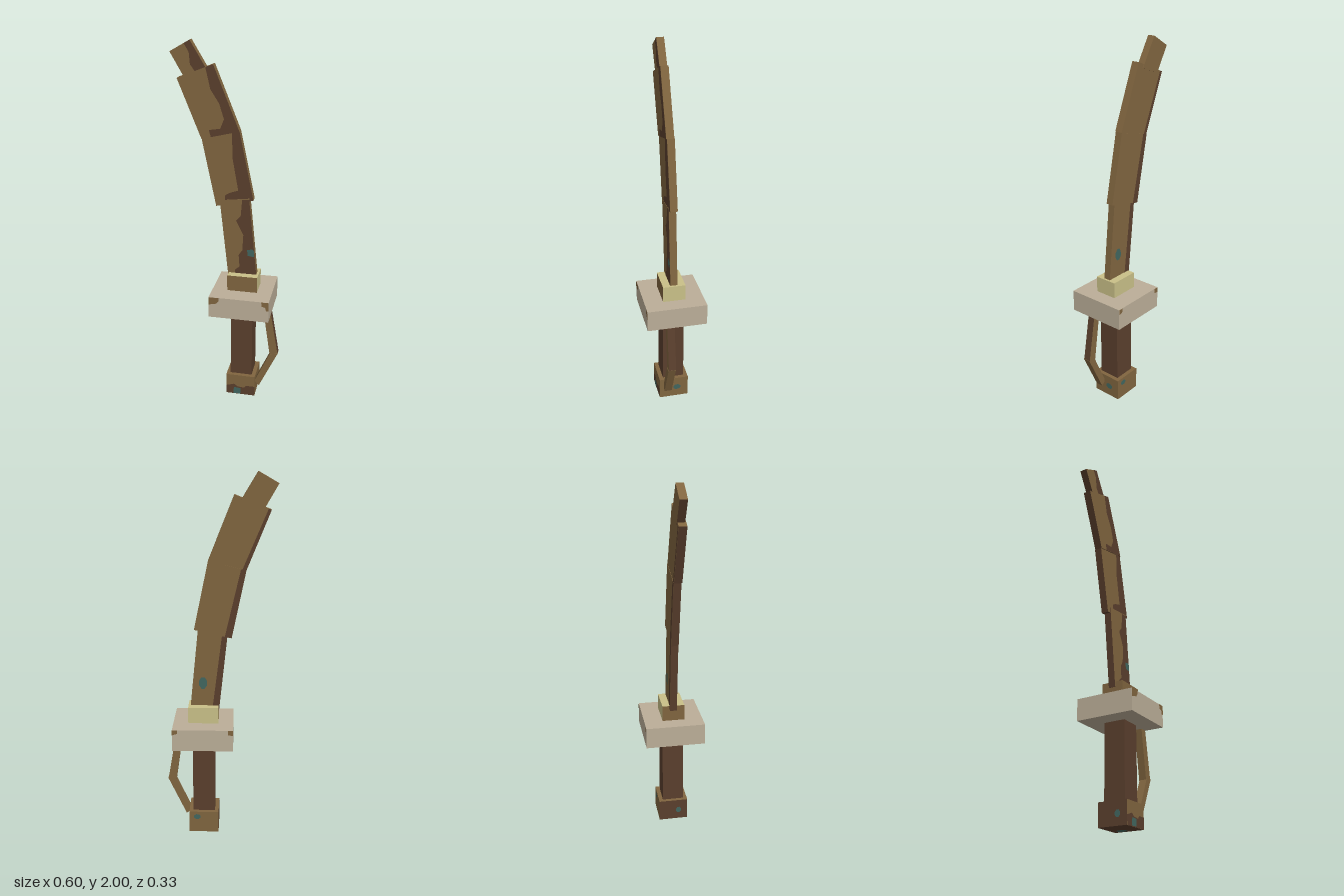
import * as THREE from 'three';

const flat = (name, color) => {
  const m = new THREE.MeshStandardMaterial({ color });
  m.name = name;
  return m;
};

export function createModel() {
  const model = new THREE.Group();
  model.name = 'curvedSword';

  const brown = flat('rustBrown', 0x80653f);
  const dark = flat('darkBrown', 0x5a3f2d);
  const stone = flat('paleStone', 0xbbae98);
  const yellow = flat('paleBrass', 0xc9c088);
  const teal = flat('verdigris', 0x41665f);

  // Bar with four corners in xy (bottom left, bottom right, top right, top left).
  // Materials run +x, -x, top, bottom, front, back.
  function bar(name, [bl, br, tr, tl], z0, z1, mats) {
    const g = new THREE.BoxGeometry(1, 1, 1);
    const p = g.attributes.position;
    for (let i = 0; i < p.count; i++) {
      const right = p.getX(i) > 0, top = p.getY(i) > 0;
      const c = top ? (right ? tr : tl) : (right ? br : bl);
      p.setXYZ(i, c[0], c[1], p.getZ(i) > 0 ? z1 : z0);
    }
    const flatG = g.toNonIndexed();
    flatG.computeVertexNormals();
    const mesh = new THREE.Mesh(flatG, mats);
    mesh.name = name;
    model.add(mesh);
  }
  const block = (name, x0, x1, y0, y1, z0, z1, mats) =>
    bar(name, [[x0, y0], [x1, y0], [x1, y1], [x0, y1]], z0, z1, mats);

  // Thin painted patch; points are x,y on front/back, z,y on the sides, x,z below
  function patch(name, side, at, pts, mat) {
    const flip = side === 'back' || side === 'right' ? -1 : 1;
    const shape = new THREE.Shape(pts.map(([u, v]) => new THREE.Vector2(u * flip, v)));
    const g = new THREE.ShapeGeometry(shape);
    if (side === 'back') g.rotateY(Math.PI);
    if (side === 'right') g.rotateY(Math.PI / 2);
    if (side === 'left') g.rotateY(-Math.PI / 2);
    if (side === 'below') g.rotateX(Math.PI / 2);
    const mesh = new THREE.Mesh(g, mat);
    mesh.name = name;
    const e = 0.0015;
    if (side === 'front') mesh.position.z = at + e;
    if (side === 'back') mesh.position.z = at - e;
    if (side === 'right') mesh.position.x = at + e;
    if (side === 'left') mesh.position.x = at - e;
    if (side === 'below') mesh.position.y = at - e;
    model.add(mesh);
  }
  const spot = (u, v, w, h) => [0, 1, 2, 3, 4, 5, 6, 7].map(i => {
    const a = (i + 0.5) * Math.PI / 4;
    return [u + w * Math.cos(a), v + h * Math.sin(a)];
  });

  // Blade: three wide sections and a narrow tip, each with a dark stain
  const bladeMats = [brown, dark, brown, dark, brown, brown];
  const sections = [
    { name: 'bladeBase', c: [[0.003, 0.72], [0.16, 0.74], [0.115, 1.19], [-0.045, 1.17]], z: [-0.02, 0.019],
      stain: [[0.04, 0.73], [0.16, 0.74], [0.115, 1.185], [0.077, 1.18], [0.07, 1.09], [0.045, 1.06],
        [0.085, 0.98], [0.08, 0.89], [0.06, 0.86], [0.065, 0.79], [0.04, 0.77]], band: 0.18 },
    { name: 'bladeMiddle', c: [[-0.065, 1.135], [0.137, 1.18], [0.06, 1.55], [-0.14, 1.5]], z: [-0.024, 0.016],
      stain: [[-0.02, 1.146], [0.137, 1.18], [0.06, 1.55], [0.02, 1.54], [0.025, 1.4], [0.055, 1.23],
        [0.01, 1.215], [-0.015, 1.2]], band: 0.14 },
    { name: 'bladeUpper', c: [[-0.14, 1.5], [0.06, 1.55], [-0.075, 1.885], [-0.265, 1.81]], z: [-0.022, 0.02],
      stain: [[-0.09, 1.513], [0.06, 1.55], [-0.075, 1.885], [-0.115, 1.87], [-0.09, 1.76], [-0.045, 1.69],
        [-0.02, 1.61], [-0.04, 1.56], [-0.1, 1.55]], band: 0.08 },
    { name: 'bladeTip', c: [[-0.225, 1.81], [-0.105, 1.85], [-0.195, 2], [-0.3, 1.94]], z: [-0.025, 0.015],
      stain: [[-0.16, 1.832], [-0.105, 1.85], [-0.195, 2], [-0.225, 1.982], [-0.2, 1.94], [-0.195, 1.88]] },
  ];
  for (const { name, c, z, stain, band } of sections) {
    bar(name, c, z[0], z[1], bladeMats);
    patch(name + 'Stain', 'front', z[1], stain, dark);
    // narrow dark margin on the back along the concave edge
    if (band) {
      const mix = (a, b, t) => [a[0] + (b[0] - a[0]) * t, a[1] + (b[1] - a[1]) * t];
      patch(name + 'BackMargin', 'back', z[0],
        [c[0], mix(c[0], c[1], band * 1.3), mix(c[3], c[2], band), c[3]], dark);
    }
  }
  patch('bladeFrontVerdigris', 'front', 0.021,
    [[0.11, 0.86], [0.145, 0.855], [0.145, 0.89], [0.135, 0.9], [0.107, 0.895]], teal);
  patch('bladeBackVerdigris', 'back', -0.02, spot(0.09, 0.88, 0.023, 0.036), teal);

  // Collar and square guard
  block('collar', 0.005, 0.171, 0.66, 0.75, -0.062, 0.062, [yellow, brown, yellow, brown, brown, yellow]);
  block('guard', -0.077, 0.253, 0.54, 0.66, -0.165, 0.165, stone);
  patch('guardRustLeft', 'front', 0.165,
    [[-0.077, 0.615], [-0.06, 0.62], [-0.035, 0.625], [-0.022, 0.64], [-0.022, 0.66], [-0.077, 0.66]], brown);
  patch('guardRustRight', 'front', 0.165,
    [[0.213, 0.66], [0.215, 0.635], [0.235, 0.63], [0.24, 0.61], [0.253, 0.61], [0.253, 0.66]], brown);
  patch('guardRustBack', 'back', -0.165, [[-0.077, 0.63], [-0.05, 0.635], [-0.05, 0.66], [-0.077, 0.66]], brown);
  patch('guardRustBackCorner', 'back', -0.165, [[0.225, 0.64], [0.253, 0.63], [0.253, 0.66], [0.225, 0.66]], brown);

  // Grip
  block('grip', 0.025, 0.148, 0.12, 0.54, -0.06, 0.06, dark);

  // Pommel with stains
  block('pommel', 0.004, 0.17, 0, 0.125, -0.083, 0.083, [brown, dark, brown, dark, brown, brown]);
  patch('pommelStain', 'front', 0.083,
    [[0.004, 0], [0.17, 0], [0.17, 0.06], [0.12, 0.06], [0.11, 0.045], [0.07, 0.05], [0.05, 0.065], [0.004, 0.05]], dark);
  patch('pommelFrontVerdigris', 'front', 0.085, [[0.045, 0.003], [0.09, 0.003], [0.09, 0.04], [0.05, 0.045]], teal);
  patch('pommelRightVerdigris', 'right', 0.17, spot(-0.018, 0.063, 0.022, 0.018), teal);
  patch('pommelBackVerdigris', 'back', -0.083, spot(0.125, 0.095, 0.02, 0.016), teal);
  patch('pommelLeftVerdigris', 'left', 0.004, spot(0.03, 0.06, 0.016, 0.02), teal);
  patch('pommelBaseVerdigris', 'below', 0, spot(0.13, -0.02, 0.025, 0.03), teal);

  // Bent knuckle bar
  bar('knuckleBarUpper', [[0.25, 0.27], [0.294, 0.285], [0.25, 0.545], [0.21, 0.545]], 0.016, 0.057,
    [dark, brown, brown, brown, brown, brown]);
  bar('knuckleBarLower', [[0.165, 0.085], [0.192, 0.06], [0.296, 0.285], [0.25, 0.275]], 0.018, 0.06, brown);

  return model;
}
